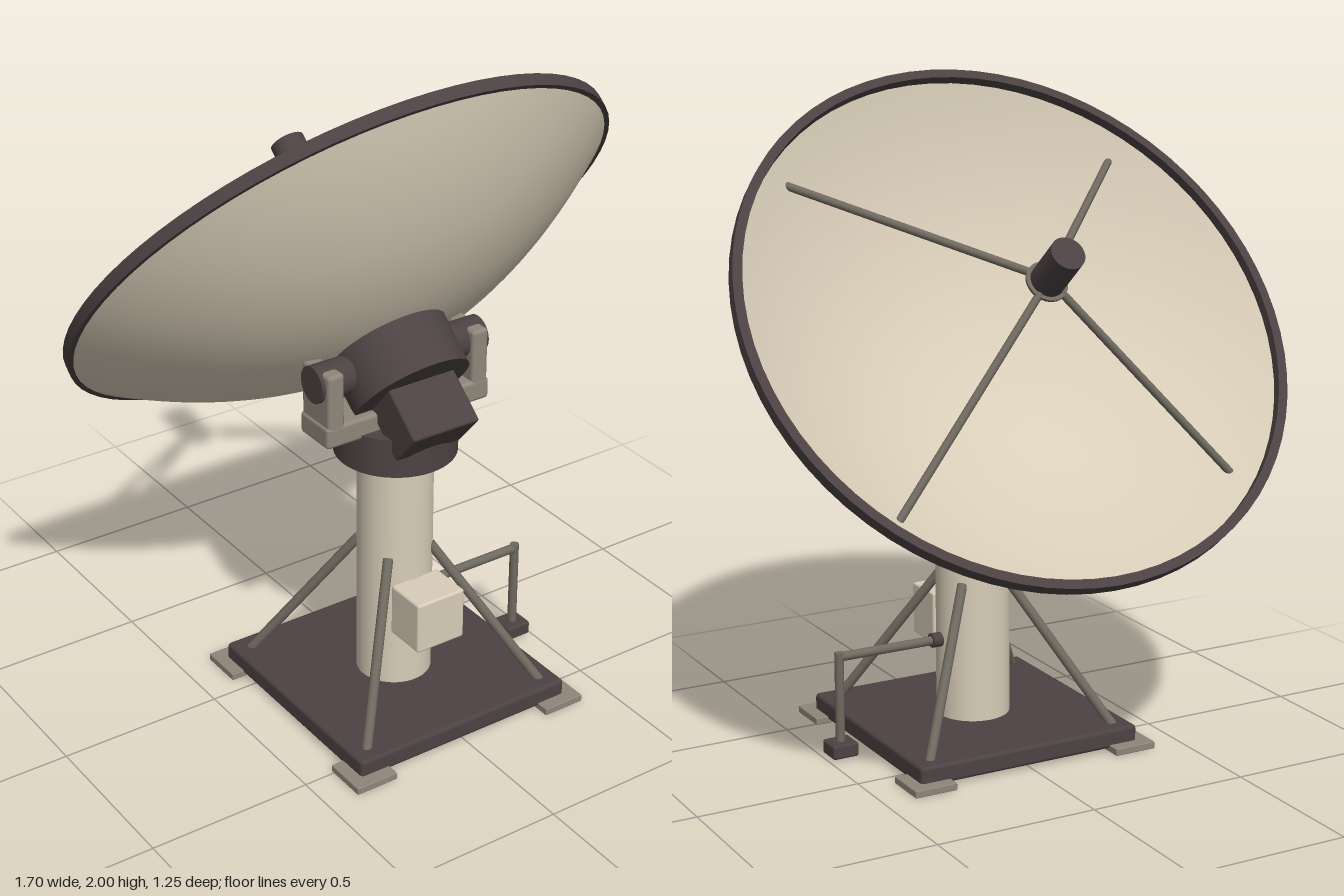
import * as THREE from 'three';
import { toCreasedNormals } from 'three/addons/utils/BufferGeometryUtils.js';
import { RoundedBoxGeometry } from 'three/addons/geometries/RoundedBoxGeometry.js';

const material = (name, color) => {
  const m = new THREE.MeshStandardMaterial({ color });
  m.name = name;
  return m;
};

export function createModel() {
  const cream = material('cream paint', 0xd8cdb8);
  const dark = material('dark metal', 0x4c4243);
  const grey = material('warm grey metal', 0x8f867a);
  const steel = material('strut steel', 0x6f6a60);

  const CZ = 0.22; // z of the mast axis
  const model = new THREE.Group();
  model.name = 'dishAntenna';

  const add = (parent, name, geometry, mat, x = 0, y = 0, z = 0) => {
    const mesh = new THREE.Mesh(geometry, mat);
    mesh.name = name;
    mesh.position.set(x, y, z);
    parent.add(mesh);
    return mesh;
  };
  const box = (parent, name, mat, size, pos, bevel = 0.008) =>
    add(parent, name, new RoundedBoxGeometry(...size, 2, bevel), mat, ...pos);
  const cyl = (parent, name, mat, r, y0, y1, segments = 48) =>
    add(parent, name, new THREE.CylinderGeometry(r, r, y1 - y0, segments), mat, 0, (y0 + y1) / 2, 0);
  // Round bar between two points
  const bar = (parent, name, mat, from, to, r, segments = 12) => {
    const a = new THREE.Vector3(...from), b = new THREE.Vector3(...to);
    const d = b.clone().sub(a);
    const mesh = add(parent, name, new THREE.CylinderGeometry(r, r, d.length(), segments), mat);
    mesh.position.copy(a).add(b).multiplyScalar(0.5);
    mesh.quaternion.setFromUnitVectors(new THREE.Vector3(0, 1, 0), d.normalize());
    return mesh;
  };

  // Everything below the dish is built around the mast axis
  const mount = new THREE.Group();
  mount.name = 'mount';
  mount.position.z = CZ;
  model.add(mount);

  box(mount, 'basePlate', dark, [0.73, 0.06, 0.73], [0, 0.04, 0], 0.012);
  cyl(mount, 'mast', cream, 0.112, 0.06, 0.82);
  cyl(mount, 'azimuthCollar', dark, 0.18, 0.815, 0.935);

  // Corner pads and diagonal braces
  for (const sx of [-1, 1]) for (const sz of [-1, 1]) {
    box(mount, 'footPad', grey, [0.135, 0.022, 0.135], [sx * 0.337, 0.011, sz * 0.337], 0.003);
    bar(mount, 'brace', steel, [sx * 0.312, 0.06, sz * 0.312], [sx * 0.075, 0.5, sz * 0.075], 0.015);
  }

  // Control cabinet on the front of the mast
  box(mount, 'controlBox', cream, [0.165, 0.163, 0.137], [0, 0.343, 0.169], 0.008);

  // Cable conduit on the left side
  bar(mount, 'conduitFlange', dark, [0.1, 0.313, 0], [0.143, 0.313, 0], 0.022, 20);
  bar(mount, 'conduitArm', steel, [0.11, 0.313, 0], [0.45, 0.313, 0], 0.014);
  bar(mount, 'conduitDrop', steel, [0.45, 0.327, 0], [0.45, 0.04, 0], 0.014);
  box(mount, 'conduitFoot', dark, [0.084, 0.044, 0.08], [0.449, 0.028, 0], 0.008);

  // Elevation yoke
  box(mount, 'yokeBar', grey, [0.56, 0.068, 0.14], [0, 0.954, 0], 0.012);
  for (const s of [-1, 1]) {
    box(mount, 'yokeArm', grey, [0.055, 0.225, 0.138], [s * 0.247, 1.034, 0], 0.012);
    bar(mount, 'trunnion', dark, [s * 0.15, 1.1, 0], [s * 0.285, 1.1, 0], 0.055, 32);
  }

  // Tilting assembly: local +y is the direction the dish points
  const head = new THREE.Group();
  head.name = 'tiltingHead';
  head.position.y = 1.1;
  head.rotation.x = THREE.MathUtils.degToRad(-50);
  mount.add(head);

  cyl(head, 'hub', dark, 0.178, -0.105, 0.062);
  box(head, 'driveHousing', dark, [0.224, 0.18, 0.14], [0, -0.177, 0], 0.008);

  // Parabolic shells, back and front
  const backAt = r => 0.04 + 0.445 * r * r;
  const frontAt = r => 0.062 + 0.435 * r * r;
  const profile = (f, r) => Array.from({ length: 25 }, (_, i) => {
    const x = r * i / 24;
    return new THREE.Vector2(x, f(x));
  });
  add(head, 'dishBack', new THREE.LatheGeometry(profile(backAt, 0.845), 72), cream);
  add(head, 'dishFront', new THREE.LatheGeometry(profile(frontAt, 0.83).reverse(), 72), cream);

  // Rim band
  const rim = [[0.822, 0.35], [0.85, 0.35], [0.85, 0.387], [0.822, 0.387], [0.822, 0.35]]
    .map(p => new THREE.Vector2(...p));
  add(head, 'dishRim', toCreasedNormals(new THREE.LatheGeometry(rim, 72), 0.6), dark);

  // Feed and its four supports
  cyl(head, 'feedBody', dark, 0.051, 0.57, 0.728, 32);
  cyl(head, 'feedRing', steel, 0.063, 0.572, 0.58, 32);
  add(head, 'feedHorn', new THREE.CylinderGeometry(0.062, 0.012, 0.052, 32), dark, 0, 0.546, 0);
  for (const sx of [-1, 1]) for (const sz of [-1, 1]) {
    bar(head, 'feedStrut', steel, [sx * 0.537, 0.305, sz * 0.537], [sx * 0.03, 0.575, sz * 0.03], 0.012);
  }

  return model;
}
